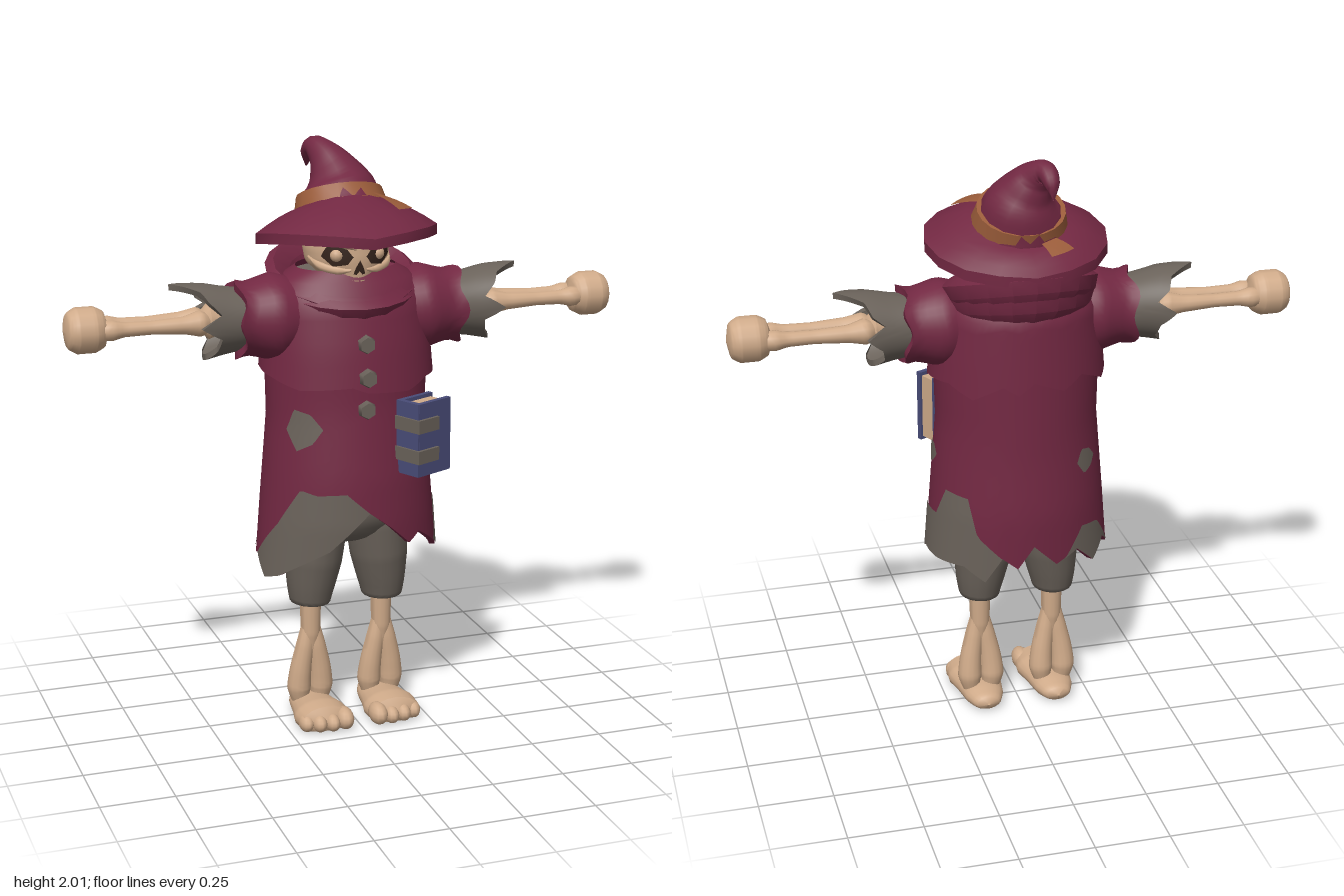
import * as THREE from 'three';
import { mergeVertices, toCreasedNormals } from 'three/addons/utils/BufferGeometryUtils.js';

const mat = (name, color) => new THREE.MeshStandardMaterial({ name, color, side: THREE.DoubleSide });
const cloth = mat('maroon cloth', 0x722842), grey = mat('grey cloth', 0x6a625a), bone = mat('bone', 0xd0ab8a);
const blue = mat('blue cover', 0x494c78), leather = mat('leather', 0x9a5c3a), dark = mat('dark hollow', 0x35241c);
const V = (x, y, z) => new THREE.Vector3(x, y, z);
const RAD = Math.PI / 180;

// Piecewise linear function through [x, value] pairs
const key = (...p) => x => {
  if (x <= p[0][0]) return p[0][1];
  for (let i = 1; i < p.length; i++) if (x <= p[i][0]) {
    const [a, u] = p[i - 1], [b, w] = p[i];
    return u + (w - u) * (x - a) / (b - a);
  }
  return p[p.length - 1][1];
};

function add(parent, name, geo, material, x = 0, y = 0, z = 0) {
  const m = new THREE.Mesh(geo, material);
  m.name = name;
  m.position.set(x, y, z);
  parent.add(m);
  return m;
}

function finish(geo, crease = 0.7) {
  geo.deleteAttribute('uv');
  geo.deleteAttribute('normal');
  return toCreasedNormals(mergeVertices(geo, 1e-5), crease);
}

// Part of a surface between two edges; lip folds the low edge inwards
function sheet(surf, a0, a1, lo, hi, { step = 5, nv = 10, off = 0, lip = 0 } = {}) {
  const na = Math.max(2, Math.round((a1 - a0) / step)), pos = [], idx = [], first = lip ? -1 : 0, w = nv - first + 1;
  for (let i = 0; i <= na; i++) {
    const a = a0 + (a1 - a0) * i / na, l = lo(a), h = Math.max(hi(a), l > hi(a) && lip ? -9 : hi(a));
    for (let j = first; j <= nv; j++) {
      const v = j < 0 ? l : l + (h - l) * j / nv;
      pos.push(...surf(a, v, j < 0 ? off - lip : off));
    }
  }
  for (let i = 0; i < na; i++) for (let j = 0; j < w - 1; j++) {
    const p = i * w + j, q = p + w;
    idx.push(p, q, q + 1, p, q + 1, p + 1);
  }
  const g = new THREE.BufferGeometry();
  g.setAttribute('position', new THREE.Float32BufferAttribute(pos, 3));
  g.setIndex(idx);
  return finish(g);
}

// Upright body surface from width, front depth and back depth by height
const body = (rx, rf, rb) => (a, y, off) => {
  const s = Math.sin(a * RAD), c = Math.cos(a * RAD);
  return [(rx(y) + off) * s, y, ((c > 0 ? rf(y) : rb(y)) + off) * c];
};

// Tube through points with a radius at each point
function taper(points, radii, segs = 14, n = 28) {
  const curve = new THREE.CatmullRomCurve3(points), g = new THREE.TubeGeometry(curve, n, 1, segs);
  const p = g.attributes.position, v = V(), k = radii.length - 1;
  for (let i = 0; i <= n; i++) {
    const c = curve.getPointAt(i / n), t = curve.getUtoTmapping(i / n) * k, f = Math.min(k - 1, Math.floor(t));
    const r = radii[f] + (radii[f + 1] - radii[f]) * (t - f);
    for (let j = 0; j <= segs; j++) {
      const q = i * (segs + 1) + j;
      v.fromBufferAttribute(p, q).sub(c).multiplyScalar(r).add(c);
      p.setXYZ(q, v.x, v.y, v.z);
    }
  }
  return finish(g, 1);
}
const ring = (pts, segs = 20) =>
  finish(new THREE.LatheGeometry([...pts, pts[0]].map(p => new THREE.Vector2(...p)), segs), 0.6);
const flat = v => () => v;

function buildCoat(root) {
  const coat = body(key([0.5, 0.325], [0.8, 0.3], [1.1, 0.275], [1.3, 0.28]),
    key([0.55, 0.24], [0.75, 0.25], [0.9, 0.245], [1.15, 0.215], [1.3, 0.21]),
    key([0.55, 0.245], [0.8, 0.255], [1, 0.24], [1.3, 0.23]));
  const hem = key([-180, 0.7], [-165, 0.62], [-150, 0.66], [-135, 0.59], [-120, 0.65], [-105, 0.6], [-90, 0.62], [-75, 0.55],
    [-60, 0.57], [-25, 0.67], [0, 0.8], [15, 0.74], [30, 0.67], [40, 0.7], [75, 0.6], [90, 0.63], [110, 0.62], [135, 0.62],
    [150, 0.57], [160, 0.66], [170, 0.62], [180, 0.7]);
  add(root, 'coat', sheet(coat, -180, 180, hem, flat(1.3), { nv: 14, lip: 0.02 }), cloth);
  const hemPatch = (a0, a1, ...k) => {
    const top = key(...k);
    add(root, 'hemPatch', sheet(coat, a0, a1, hem, a => Math.max(hem(a), top(a)), { step: 2.5, off: 0.004 }), grey);
  };
  hemPatch(-90, 0, [-90, 0.62], [-65, 0.75], [-47, 0.88], [-35, 0.865], [-15, 0.87], [0, 0.8]);
  hemPatch(60, 160, [60, 0.63], [78, 0.78], [105, 0.78], [115, 0.88], [135, 0.87], [143, 0.74], [160, 0.66]);
  hemPatch(-160, -110, [-160, 0.63], [-145, 0.74], [-128, 0.73], [-110, 0.62]);
  const patch = (a, y, w, h) => add(root, 'clothPatch', sheet(coat, a - w, a + w,
    key([a - w, y], [a - w / 3, y - h], [a + w / 2, y - h * 0.6], [a + w, y + h * 0.1]),
    key([a - w, y], [a - w / 2, y + h], [a + w * 0.4, y + h * 0.8], [a + w, y + h * 0.1]), { step: 2, nv: 4, off: 0.005 }), grey);
  patch(-46, 1.08, 15, 0.07);
  patch(90, 0.98, 10, 0.04);
  patch(-137, 0.97, 10, 0.045);

  // Shoulder cape with a ragged edge
  const cape = body(key([1.2, 0.305], [1.35, 0.292], [1.5, 0.275], [1.56, 0.24], [1.6, 0.17]),
    key([1.2, 0.235], [1.35, 0.215], [1.5, 0.185], [1.6, 0.12]), key([1.2, 0.255], [1.35, 0.245], [1.5, 0.235], [1.6, 0.16]));
  const capeHem = key([-180, 1.29], [-160, 1.25], [-145, 1.29], [-120, 1.24], [-100, 1.27], [-70, 1.25], [-45, 1.22], [-10, 1.23],
    [0, 1.21], [30, 1.2], [50, 1.23], [70, 1.23], [90, 1.26], [120, 1.27], [140, 1.23], [160, 1.28], [170, 1.25], [180, 1.29]);
  add(root, 'cape', sheet(cape, -180, 180, capeHem, flat(1.6), { lip: 0.035 }), cloth);

  // Folded cowl and its grey lining
  const fold = [[0.2, -0.07], [0.25, -0.025], [0.262, 0.02], [0.235, 0.04], [0.18, 0.005], [0.15, -0.06]];
  for (const [y, z, tilt, s] of [[1.555, -0.045, 0.33, 1], [1.515, -0.03, 0.2, 0.97]]) {
    const m = add(root, 'cowl', ring(fold), cloth, 0, y, z);
    m.rotation.x = tilt;
    m.scale.set(s, 1, s * 0.95);
  }
  const lining = add(root, 'neckLining', new THREE.CylinderGeometry(0.19, 0.1, 0.07, 16), grey, 0, 1.5, -0.04);
  lining.rotation.x = 0.3;

  // Six-sided buttons
  for (const [y, z] of [[1.37, 0.21], [1.26, 0.23], [1.15, 0.218]])
    add(root, 'button', new THREE.CylinderGeometry(0.027, 0.036, 0.035, 6).toNonIndexed().rotateX(Math.PI / 2), grey, 0, y, z);
}

function buildHat(root) {
  const hat = new THREE.Group();
  hat.name = 'hat';
  root.add(hat);
  add(hat, 'crown', taper([V(0, 1.785, -0.052), V(0, 1.85, -0.08), V(-0.012, 1.9, -0.1), V(-0.035, 1.95, -0.13), V(-0.055, 1.972, -0.17),
    V(-0.062, 1.945, -0.212), V(-0.062, 1.9, -0.232)], [0.15, 0.122, 0.086, 0.054, 0.036, 0.026, 0.003]), cloth);
  const band = add(hat, 'hatBand', ring([[0.135, -0.035], [0.163, -0.035], [0.146, 0.035], [0.115, 0.035]]), leather, 0, 1.797, -0.056);
  band.rotation.x = -0.42;
  band.scale.z = 0.92;

  // Drooping brim: v runs from the crown (0) to the rim (1)
  const rimY = key([0, 1.735], [30, 1.75], [60, 1.745], [90, 1.72], [135, 1.68], [180, 1.66]);
  const brim = (a, v, off) => {
    const s = Math.sin(a * RAD), c = Math.cos(a * RAD), r = 0.14 + 0.165 * v;
    const z = -0.05 * (1 - v) + c * (0.13 + (c > 0 ? 0.165 : 0.145) * v), innerY = 1.79 + 0.055 * c;
    return [r * s, innerY + (rimY(Math.abs(a)) - innerY) * v + 0.012 * Math.sin(v * Math.PI) + off, z];
  };
  add(hat, 'brim', sheet(brim, -180, 180, flat(1), flat(0), { step: 22.5, nv: 4, lip: 0.035 }), cloth);
  add(hat, 'brimUnderside', sheet(brim, -180, 180, flat(1), flat(0), { step: 22.5, nv: 4, off: -0.035 }), cloth);
  for (const [a, v] of [[42, 0.6], [-155, 0.62]])
    add(hat, 'bandTail', sheet(brim, a - 11, a + 11, flat(0), flat(v), { nv: 4, off: 0.009 }), leather);
}

function buildSkull(root) {
  const head = new THREE.Group();
  head.name = 'skull';
  root.add(head);
  const face = body(key([1.49, 0.05], [1.52, 0.08], [1.585, 0.1], [1.615, 0.138], [1.67, 0.146], [1.73, 0.138], [1.79, 0.08]),
    key([1.49, 0.06], [1.52, 0.125], [1.585, 0.135], [1.64, 0.142], [1.72, 0.14], [1.79, 0.07]),
    key([1.49, 0.05], [1.58, 0.11], [1.67, 0.16], [1.79, 0.08]));
  add(head, 'skullBone', sheet(face, -180, 180, flat(1.49), flat(1.79), { step: 10, nv: 20 }), bone);
  for (const s of [-1, 1]) {
    const lo = key([9, 1.65], [16, 1.625], [36, 1.618], [52, 1.65]), hi = key([9, 1.65], [16, 1.675], [40, 1.695], [52, 1.65]);
    const mid = s * 30;
    add(head, 'eyeSocket', sheet(face, mid - 22, mid + 22, a => lo(s * a), a => hi(s * a), { step: 2, nv: 6, off: 0.005 }), dark);
    add(head, 'eye', new THREE.SphereGeometry(0.024, 12, 8), bone, s * 0.07, 1.655, 0.115);
    const on = (a, y) => V(...face(s * a, y, 0));
    add(head, 'brow', taper([on(4, 1.675), on(20, 1.692), on(38, 1.707), on(60, 1.685)], [0.004, 0.015, 0.014, 0.003], 8, 12), bone);
    add(head, 'cheekbone', taper([on(12, 1.605), on(32, 1.603), on(55, 1.615), on(80, 1.64)], [0.004, 0.014, 0.015, 0.004], 8, 12), bone);
  }
  add(head, 'noseHole', sheet(face, -10, 10, key([-10, 1.592], [-5, 1.59], [0, 1.602], [5, 1.59], [10, 1.592]),
    key([-10, 1.593], [0, 1.638], [10, 1.593]), { step: 2.5, nv: 4, off: 0.005 }), dark);
  add(head, 'mouth', sheet(face, -46, 46, key([-46, 1.57], [-36, 1.545], [36, 1.545], [46, 1.57]),
    key([-46, 1.585], [-36, 1.572], [36, 1.572], [46, 1.585]), { step: 4, nv: 3, off: 0.004 }), dark);
  for (let a = -30; a <= 30; a += 12)
    add(head, 'tooth', sheet(face, a - 4.5, a + 4.5, flat(a % 24 ? 1.553 : 1.548), flat(1.572), { step: 3, nv: 2, off: 0.009 }), bone);
}

// One arm and one leg on the +x side
function buildLimbs() {
  const g = new THREE.Group();
  const tube = r => (a, x, off) => [x, 1.44 + (r(x) + off) * Math.cos(a * RAD), (r(x) + off) * Math.sin(a * RAD)];
  const sleeve = tube(key([0.15, 0.12], [0.26, 0.148], [0.33, 0.128], [0.36, 0.122], [0.39, 0.134]));
  add(g, 'sleeve', sheet(sleeve, -180, 180, a => 0.385 + 0.012 * Math.sin(a * RAD * 5), flat(0.15), { step: 10, lip: 0.03 }), cloth);
  const cuffHem = key([-180, 0.5], [-160, 0.49], [-135, 0.46], [-110, 0.47], [-90, 0.52], [-70, 0.46], [-55, 0.5], [-30, 0.52],
    [0, 0.61], [30, 0.52], [50, 0.5], [70, 0.46], [90, 0.53], [110, 0.46], [135, 0.47], [160, 0.5], [180, 0.5]);
  add(g, 'cuff', sheet(tube(key([0.34, 0.1], [0.43, 0.113], [0.5, 0.128], [0.62, 0.132])), -180, 180, cuffHem, flat(0.34),
    { nv: 5, lip: 0.02 }), grey);
  add(g, 'upperArm', taper([V(0.25, 1.44, 0), V(0.4, 1.44, 0), V(0.48, 1.44, 0), V(0.53, 1.44, 0)], [0.035, 0.035, 0.06, 0.004]), bone);
  for (const z of [-0.036, 0.036])
    add(g, 'forearmBone', taper([V(0.46, 1.44, z * 0.7), V(0.51, 1.44, z * 0.8), V(0.57, 1.44, z), V(0.68, 1.44, z), V(0.77, 1.44, z),
      V(0.81, 1.44, z), V(0.85, 1.44, z * 0.8)], [0.01, 0.045, 0.03, 0.023, 0.025, 0.035, 0.03], 12), bone);
  // Fist
  add(g, 'hand', taper([V(0.815, 1.44, 0), V(0.83, 1.44, 0), V(0.86, 1.44, 0), V(0.92, 1.44, 0), V(0.95, 1.44, 0), V(0.962, 1.44, 0)],
    [0.01, 0.06, 0.076, 0.076, 0.058, 0.002], 14), bone);

  // Trouser leg, shin bones and foot
  const trousers = add(g, 'trouserLeg', taper([V(0.1, 0.84, 0), V(0.11, 0.7, 0), V(0.12, 0.58, 0), V(0.13, 0.47, 0), V(0.132, 0.41, 0), V(0.132, 0.409, 0)],
    [0.1, 0.108, 0.1, 0.08, 0.064, 0.03], 18), grey);
  trousers.scale.z = 1.15;
  add(g, 'shin', taper([V(0.13, 0.48, 0), V(0.13, 0.38, 0), V(0.13, 0.3, 0), V(0.13, 0.22, 0)], [0.038, 0.036, 0.034, 0.02]), bone);
  for (const s of [-1, 1])
    add(g, 'ankleBone', taper([V(0.13 + s * 0.008, 0.34, 0), V(0.13 + s * 0.02, 0.26, 0), V(0.13 + s * 0.035, 0.17, -0.005),
      V(0.13 + s * 0.04, 0.1, -0.01), V(0.13 + s * 0.035, 0.05, -0.01)], [0.022, 0.032, 0.038, 0.042, 0.03]), bone);
  const foot = taper([V(0, 0, -0.118), V(0, 0, -0.105), V(0, 0, -0.05), V(0, 0, 0.03), V(0, 0, 0.1), V(0, 0, 0.165), V(0, 0, 0.185)],
    [0.005, 0.045, 0.068, 0.08, 0.096, 0.09, 0.02], 20);
  foot.scale(1, 0.6, 1).translate(0.127, 0.033, 0);
  const p = foot.attributes.position;
  for (let i = 0; i < p.count; i++) p.setY(i, Math.max(0.002, p.getY(i)));
  add(g, 'foot', finish(foot), bone);
  [[0.062, 0.032, 0.165], [0.108, 0.026, 0.172], [0.153, 0.026, 0.165], [0.195, 0.026, 0.148]].forEach(([x, r, z]) => {
    add(g, 'toe', new THREE.SphereGeometry(r, 12, 8).scale(1, 1.2, 1.7), bone, x, r * 1.2, z);
  });
  return g;
}

function buildBook(root) {
  const book = new THREE.Group();
  book.name = 'book';
  book.position.set(0.2, 1.05, 0.222);
  book.rotation.y = 0.45;
  root.add(book);
  const box = (name, m, w, h, d, x, y, z) => add(book, name, new THREE.BoxGeometry(w, h, d), m, x, y, z);
  for (const z of [-0.042, 0.042]) box('cover', blue, 0.15, 0.25, 0.018, 0, 0, z);
  box('spine', blue, 0.02, 0.25, 0.1, -0.07, 0, 0);
  box('pages', bone, 0.13, 0.225, 0.07, 0.002, 0, 0);
  for (const y of [-0.055, 0.05]) {
    box('strap', grey, 0.09, 0.045, 0.012, -0.035, y, 0.056);
    box('strapSide', grey, 0.01, 0.045, 0.112, -0.083, y, 0.006);
  }
}

export function createModel() {
  const root = new THREE.Group();
  root.name = 'skeletonWizard';
  buildCoat(root);
  buildHat(root);
  buildSkull(root);
  buildBook(root);
  add(root, 'hips', new THREE.SphereGeometry(1, 20, 14).scale(0.22, 0.14, 0.17), grey, 0, 0.77, -0.01);
  const left = buildLimbs(), right = buildLimbs();
  left.name = 'leftLimbs';
  right.name = 'rightLimbs';
  right.scale.x = -1;
  root.add(left, right);
  return root;
}
